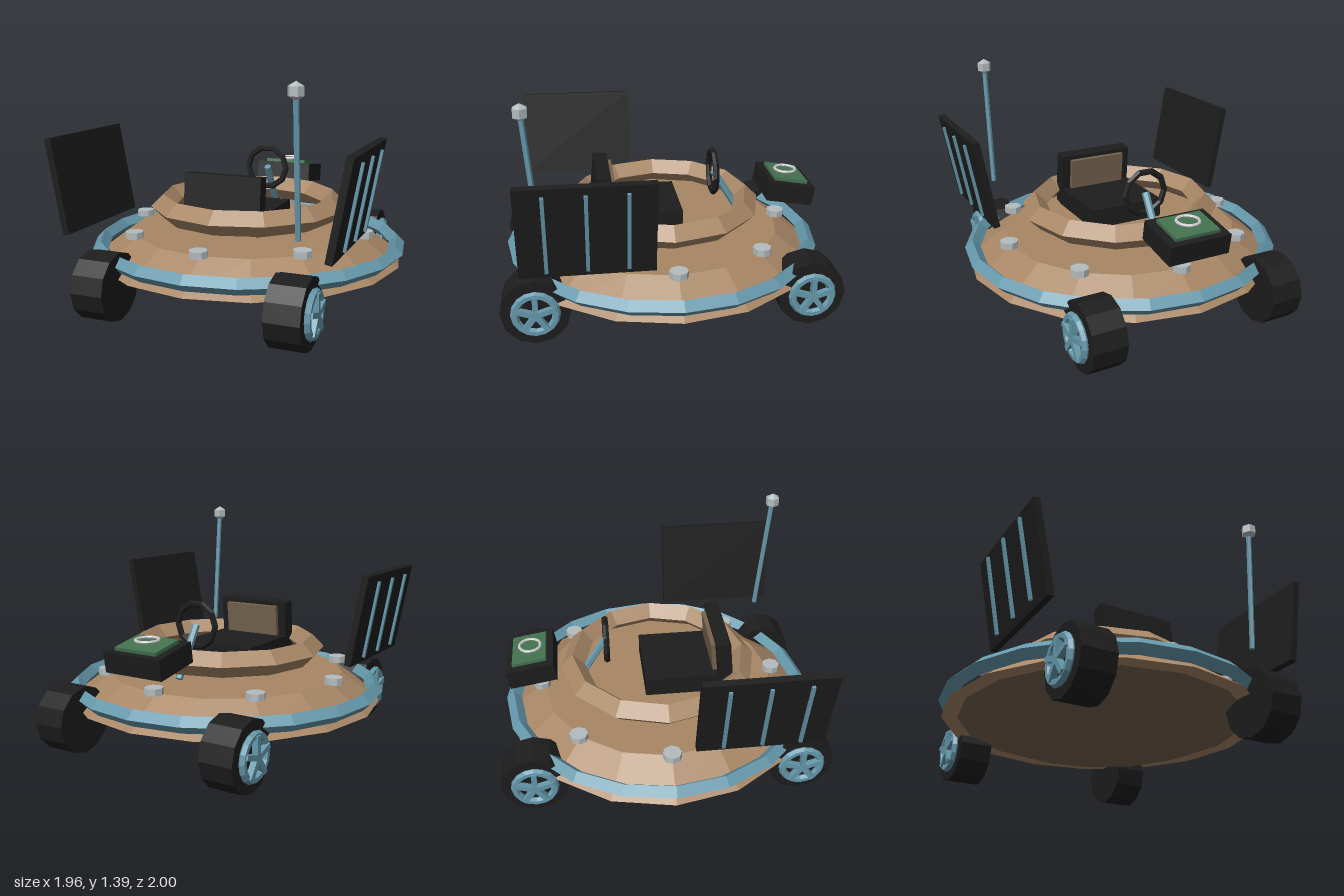
import * as THREE from 'three';

const paint = (name, color) => {
  const m = new THREE.MeshStandardMaterial({ color, flatShading: true });
  m.name = name;
  return m;
};

export function createModel() {
  const tan = paint('tan hull', 0xa88766);
  const darkTan = paint('dark tan', 0x75634d);
  const blue = paint('steel blue trim', 0x6598ab);
  const black = paint('black', 0x1d1d1d);
  const silver = paint('silver', 0xb4bcbf);
  const pale = paint('pale grey', 0xcccccc);
  const green = paint('screen green', 0x447250);

  const model = new THREE.Group();
  model.name = 'saucerRover';

  const add = (name, geometry, material, x = 0, y = 0, z = 0, parent = model) => {
    const mesh = new THREE.Mesh(geometry, material);
    mesh.name = name;
    mesh.position.set(x, y, z);
    parent.add(mesh);
    return mesh;
  };
  const group = (name, x, y, z) => {
    const g = new THREE.Group();
    g.name = name;
    g.position.set(x, y, z);
    model.add(g);
    return g;
  };
  const box = (w, h, d) => new THREE.BoxGeometry(w, h, d);
  // Torus lying flat, axis along y
  const flatRing = (R, r, sides, segments) =>
    new THREE.TorusGeometry(R, r, sides, segments).rotateX(-Math.PI / 2);
  // Straight bar between two points
  const bar = (name, a, b, radius, material) => {
    const from = new THREE.Vector3(...a), to = new THREE.Vector3(...b);
    const dir = to.clone().sub(from);
    const mesh = add(name, new THREE.CylinderGeometry(radius, radius, dir.length(), 6), material);
    mesh.position.copy(from).add(to).multiplyScalar(0.5);
    mesh.quaternion.setFromUnitVectors(new THREE.Vector3(0, 1, 0), dir.normalize());
  };

  // Saucer: conical deck over a darker, narrower belly
  add('hull', new THREE.CylinderGeometry(0.73, 0.96, 0.167, 16), tan, 0, 0.3315, 0);
  add('belly', new THREE.CylinderGeometry(0.87, 0.7, 0.065, 16), darkTan, 0, 0.2175, 0);
  add('bumperRing', flatRing(0.932, 0.048, 4, 20), blue, 0, 0.327, 0);
  add('cockpitRing', flatRing(0.54, 0.075, 4, 12), tan, 0, 0.56, 0);

  // Deck bolts
  for (let i = 0; i < 8; i++) {
    const a = (i * Math.PI) / 4;
    add('deckBolt', new THREE.CylinderGeometry(0.055, 0.055, 0.04, 8), silver,
      Math.cos(a) * 0.745, 0.435, Math.sin(a) * 0.745);
  }

  // Seat facing -z, with dark tan back cushion
  add('seatCushion', box(0.48, 0.12, 0.5), black, 0, 0.525, 0.15);
  const back = group('seatBack', 0, 0.64, 0.39);
  back.rotation.x = -0.1;
  add('seatBackFrame', box(0.48, 0.34, 0.088), black, 0, 0, 0, back);
  add('seatBackCushion', box(0.37, 0.25, 0.03), darkTan, 0, 0.02, -0.056, back);

  // Steering wheel and column
  add('steeringWheel', new THREE.TorusGeometry(0.132, 0.02, 6, 10), black, 0, 0.74, -0.325);
  bar('steeringColumn', [0, 0.74, -0.33], [0, 0.45, -0.51], 0.023, blue);

  // Console with screen and dial ring
  const consoleGroup = group('console', 0, 0.635, -0.788);
  consoleGroup.rotation.x = -0.17;
  add('consoleBox', box(0.38, 0.12, 0.29), black, 0, 0, 0, consoleGroup);
  add('consoleScreen', box(0.28, 0.02, 0.21), green, 0, 0.07, 0, consoleGroup);
  add('consoleDial', flatRing(0.065, 0.009, 6, 14), pale, 0, 0.732, -0.795).rotation.x = -0.04;

  // Antenna, leaning towards +z
  bar('antennaMast', [0.575, 0.57, 0.752], [0.575, 1.33, 0.813], 0.016, blue);
  add('antennaTip', new THREE.SphereGeometry(0.05, 6, 3), silver, 0.575, 1.345, 0.815);

  for (const s of [-1, 1]) {
    const sideName = s > 0 ? 'left' : 'right';

    // Side panel tilted outwards, with three rods on its outer face
    const panel = group(sideName + 'Panel', s * 0.82, 0.767, 0.5);
    panel.rotation.z = -s * 0.178;
    add('panelBoard', box(0.04, 0.555, 0.74), black, 0, 0, 0, panel);
    for (const z of [-0.22, 0, 0.22]) {
      add('panelRod', box(0.016, 0.475, 0.02), blue, s * 0.036, 0, z, panel);
    }

    // Wheels
    for (const z of [-0.8, 0.8]) {
      const wheel = group(sideName + (z > 0 ? 'Front' : 'Rear') + 'Wheel', s * 0.57, 0.2, z);
      add('tyre', new THREE.CylinderGeometry(0.2, 0.2, 0.2, 12).rotateZ(Math.PI / 2), black, 0, 0, 0, wheel);
      add('rim', new THREE.TorusGeometry(0.118, 0.024, 6, 16).rotateY(Math.PI / 2), blue, s * 0.11, 0, 0, wheel);
      for (let i = 0; i < 5; i++) {
        const spoke = box(0.035, 0.12, 0.031).translate(0, 0.06, 0).rotateX((i * Math.PI * 2) / 5);
        add('spoke', spoke, blue, s * 0.124, 0, 0, wheel);
      }
    }
  }

  return model;
}
